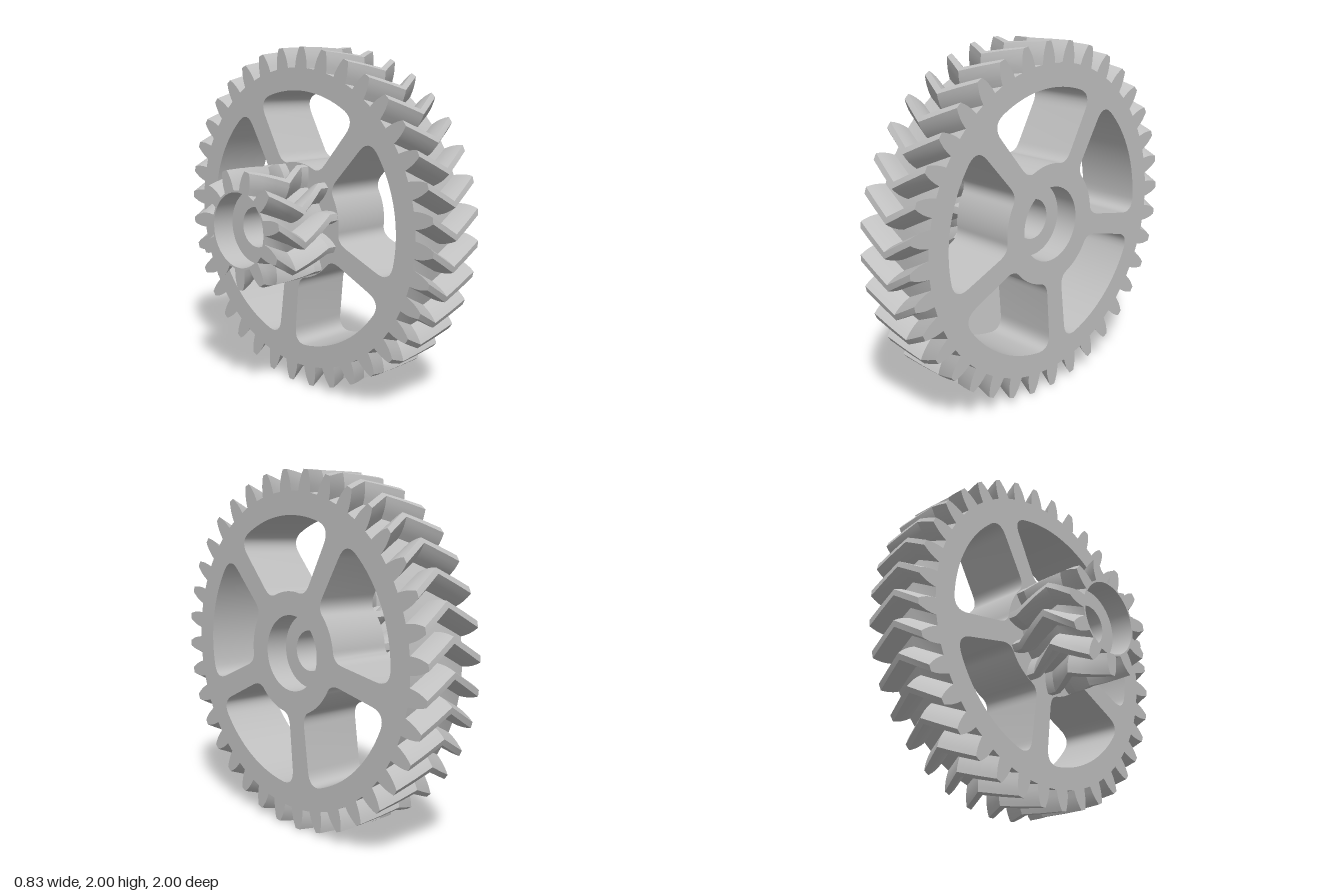
import * as THREE from 'three';
import { toCreasedNormals } from 'three/addons/utils/BufferGeometryUtils.js';

const DEG = Math.PI / 180;
const polar = (r, a) => new THREE.Vector2(r * Math.cos(a), r * Math.sin(a));

// Closed counter-clockwise tooth outline; halves = tooth half-angles in degrees from root to tip
function toothOutline(count, rootR, tipR, halves, phase) {
  const heights = [0, 0.3, 0.55, 0.8, 1];
  const pts = [];
  for (let t = 0; t < count; t++) {
    const mid = phase * DEG + (t / count) * Math.PI * 2;
    heights.forEach((h, i) => pts.push(polar(rootR + (tipR - rootR) * h, mid - halves[i] * DEG)));
    pts.push(polar(tipR, mid));
    for (let i = 4; i >= 0; i--) {
      pts.push(polar(rootR + (tipR - rootR) * heights[i], mid + halves[i] * DEG));
    }
  }
  return pts;
}

function circle(r, n = 64) {
  return Array.from({ length: n }, (_, i) => polar(r, (i / n) * Math.PI * 2));
}

// Rounded window between two spokes
function windowOutline(centre) {
  const outer = 0.755, inner = 0.343, half = 36 * DEG;
  const edge = (r, h) => half - Math.asin(h / r);
  const ao = edge(outer, 0.067), ai = edge(inner, 0.06);
  const s = new THREE.Path();
  const at = (r, a) => polar(r, a + centre);
  const arc = (r, a0, a1) => {
    for (let i = 0; i <= 16; i++) {
      const p = at(r, a0 + ((a1 - a0) * i) / 16);
      if (i === 0 && r === outer) s.moveTo(p.x, p.y);
      else if (i > 0) s.lineTo(p.x, p.y);
    }
  };
  const round = (c, e) => s.quadraticCurveTo(c.x, c.y, e.x, e.y);
  const go = (p) => s.lineTo(p.x, p.y);
  const nearOut = outer - 0.1, nearIn = inner + 0.07;
  const eo = edge(nearOut, 0.066), ei = edge(nearIn, 0.061);
  arc(outer, -ao + 0.12, ao - 0.12);
  round(at(outer, ao), at(nearOut, eo));
  go(at(nearIn, ei));
  round(at(inner, ai), at(inner, ai - 0.17));
  arc(inner, ai - 0.17, -ai + 0.17);
  round(at(inner, -ai), at(nearIn, -ei));
  go(at(nearOut, -eo));
  round(at(outer, -ao), at(outer, -ao + 0.12));
  const pts = s.getPoints(8);
  pts.pop();
  return pts;
}

// Skin through sections [depth, twist, scale]; reversed outlines face inward
function loft(pts, sections, inward = false) {
  const ring = inward ? [...pts].reverse() : pts;
  const rows = sections.map(([w, twist = 0, scale = 1]) => ring.map((p) => {
    const c = Math.cos(twist) * scale, s = Math.sin(twist) * scale;
    return [p.x * c - p.y * s, p.x * s + p.y * c, w];
  }));
  const pos = [];
  for (let k = 0; k + 1 < rows.length; k++) {
    for (let i = 0; i < ring.length; i++) {
      const j = (i + 1) % ring.length;
      const a = rows[k][i], b = rows[k][j], c = rows[k + 1][j], d = rows[k + 1][i];
      pos.push(...a, ...b, ...c, ...a, ...c, ...d);
    }
  }
  const geo = new THREE.BufferGeometry();
  geo.setAttribute('position', new THREE.Float32BufferAttribute(pos, 3));
  return toCreasedNormals(geo, 0.42);
}

// Flat end face with holes
function endFace(pts, holes, w, back = false) {
  const shape = new THREE.Shape(pts);
  shape.holes = holes.map((h) => new THREE.Path(h));
  const geo = new THREE.ShapeGeometry(shape);
  if (back) geo.index.array.reverse();
  geo.translate(0, 0, w);
  geo.computeVertexNormals();
  return geo;
}

// Herringbone sections, twisted most at the middle
function herringbone(from, to, twist, steps) {
  return Array.from({ length: steps * 2 + 1 }, (_, i) => {
    const t = i / (steps * 2);
    return [from + (to - from) * t, twist * (1 - Math.abs(2 * t - 1))];
  });
}

export function createModel() {
  const model = new THREE.Group();
  model.name = 'doubleHerringboneGear';
  const grey = new THREE.MeshStandardMaterial({ color: 0xc0c0c0 });
  grey.name = 'light grey';

  const body = new THREE.Group();
  body.name = 'gearBody';
  body.rotation.y = Math.PI / 2;
  body.position.y = 1;
  model.add(body);
  const add = (name, geo) => {
    const mesh = new THREE.Mesh(geo, grey);
    mesh.name = name;
    body.add(mesh);
  };

  const x0 = -0.42, x1 = 0.025, x2 = 0.415;
  const boreR = 0.115, seatR = 0.212, seatDepth = 0.135;

  // Large wheel with five windows
  const wheel = toothOutline(36, 0.884, 1, [3.1, 2.75, 2.3, 1.65, 1.0], 2.4);
  const windows = [0, 1, 2, 3, 4].map((i) => windowOutline((96 + i * 72) * DEG));
  add('wheelTeeth', loft(wheel, herringbone(x1, x2, 0.113, 2)));
  add('wheelOuterFace', endFace(wheel, [...windows, circle(seatR)], x2));
  add('wheelInnerFace', endFace(wheel, [...windows, circle(seatR)], x1, true));
  windows.forEach((w) => add('windowWall', loft(w, [[x1], [x2]], true)));

  // Small pinion, its teeth running straight into the wheel
  const pinion = toothOutline(11, 0.224, 0.34, [10.2, 9, 7.4, 5.4, 3.3], 169);
  add('pinionTeeth', loft(pinion, [...herringbone(x0, -0.03, 0.38, 3), [x1]]));
  add('pinionEndFace', endFace(pinion, [circle(seatR)], x0, true));

  // Stepped bore with a bearing seat at each end
  const k = boreR / seatR;
  add('bore', loft(circle(seatR), [
    [x0], [x0 + seatDepth], [x0 + seatDepth, 0, k],
    [x2 - seatDepth, 0, k], [x2 - seatDepth], [x2],
  ], true));

  return model;
}
